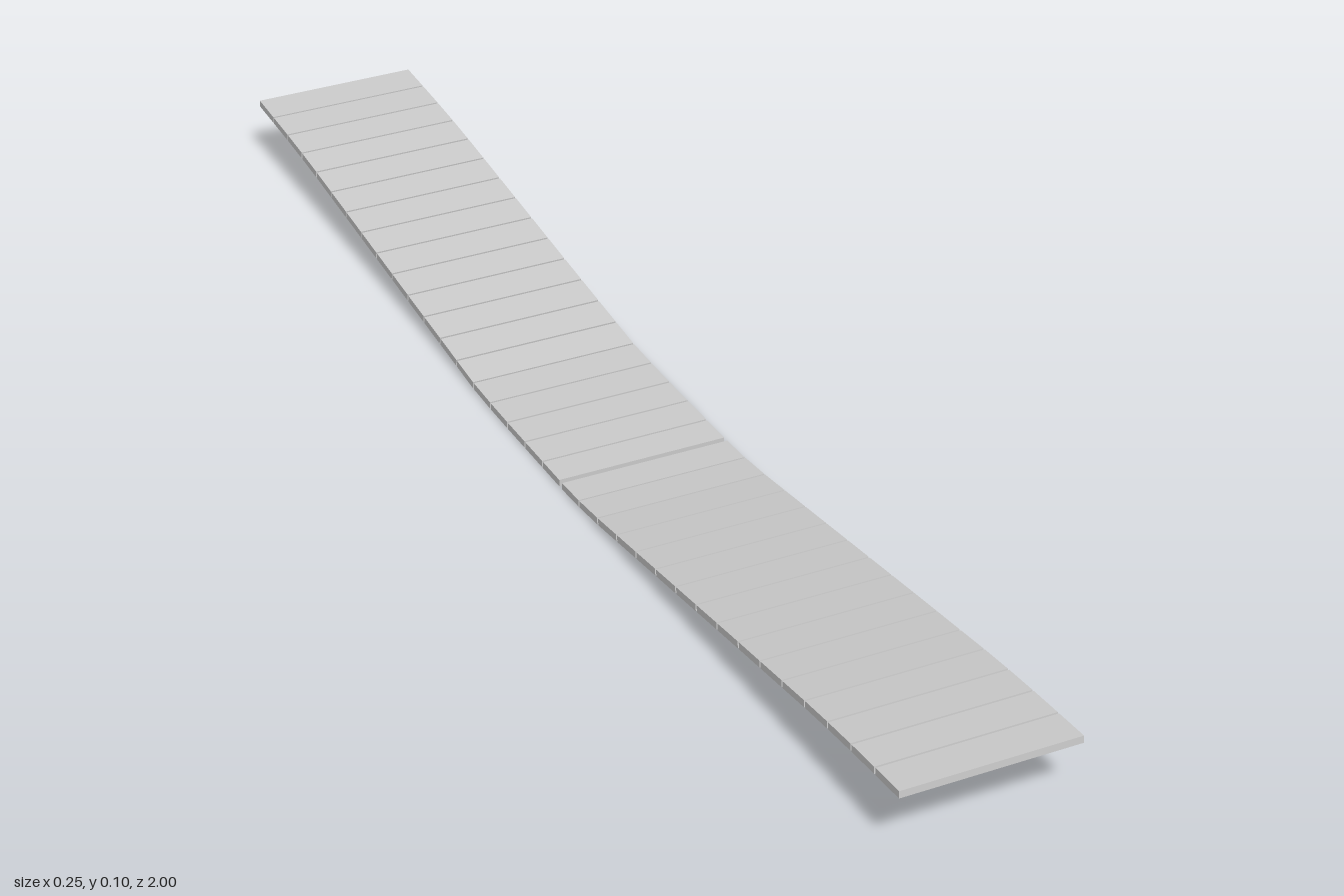
import * as THREE from 'three';

// Sagging profile of the deck: [z, height of plank centre]
const profile = [
  [-1, 0.09], [-0.9, 0.084], [-0.8, 0.076], [-0.6, 0.053], [-0.4, 0.03], [-0.2, 0.008],
  [-0.12, 0.005], [0.12, 0.005], [0.2, 0.012], [0.4, 0.036], [0.6, 0.06],
  [0.8, 0.083], [0.9, 0.091], [1, 0.097],
];

function heightAt(z) {
  let i = 1;
  while (i < profile.length - 1 && z > profile[i][0]) i++;
  const [z0, y0] = profile[i - 1], [z1, y1] = profile[i];
  return y0 + (y1 - y0) * (z - z0) / (z1 - z0);
}

export function createModel() {
  const group = new THREE.Group();
  group.name = 'plankBridge';
  const material = new THREE.MeshStandardMaterial({ color: 0xcccccc, flatShading: true });

  const count = 35, pitch = 2 / count, gap = 0.003, thickness = 0.01, width = 0.25;

  // Row of planks, each tilted to follow the sag
  for (let i = 0; i < count; i++) {
    let z0 = -1 + i * pitch + (i === 0 ? 0 : gap / 2);
    let z1 = -1 + (i + 1) * pitch - (i === count - 1 ? 0 : gap / 2);
    // Wider joint where the two halves meet
    if (i === 18) z1 -= 0.003;
    if (i === 19) z0 += 0.003;
    const y0 = heightAt(z0), y1 = heightAt(z1);
    const length = Math.hypot(z1 - z0, y1 - y0);
    const plank = new THREE.Mesh(new THREE.BoxGeometry(width, thickness, length), material);
    plank.name = `plank${i + 1}`;
    plank.position.set(0, (y0 + y1) / 2, (z0 + z1) / 2);
    plank.rotation.x = -Math.atan2(y1 - y0, z1 - z0);
    group.add(plank);
  }
  return group;
}
